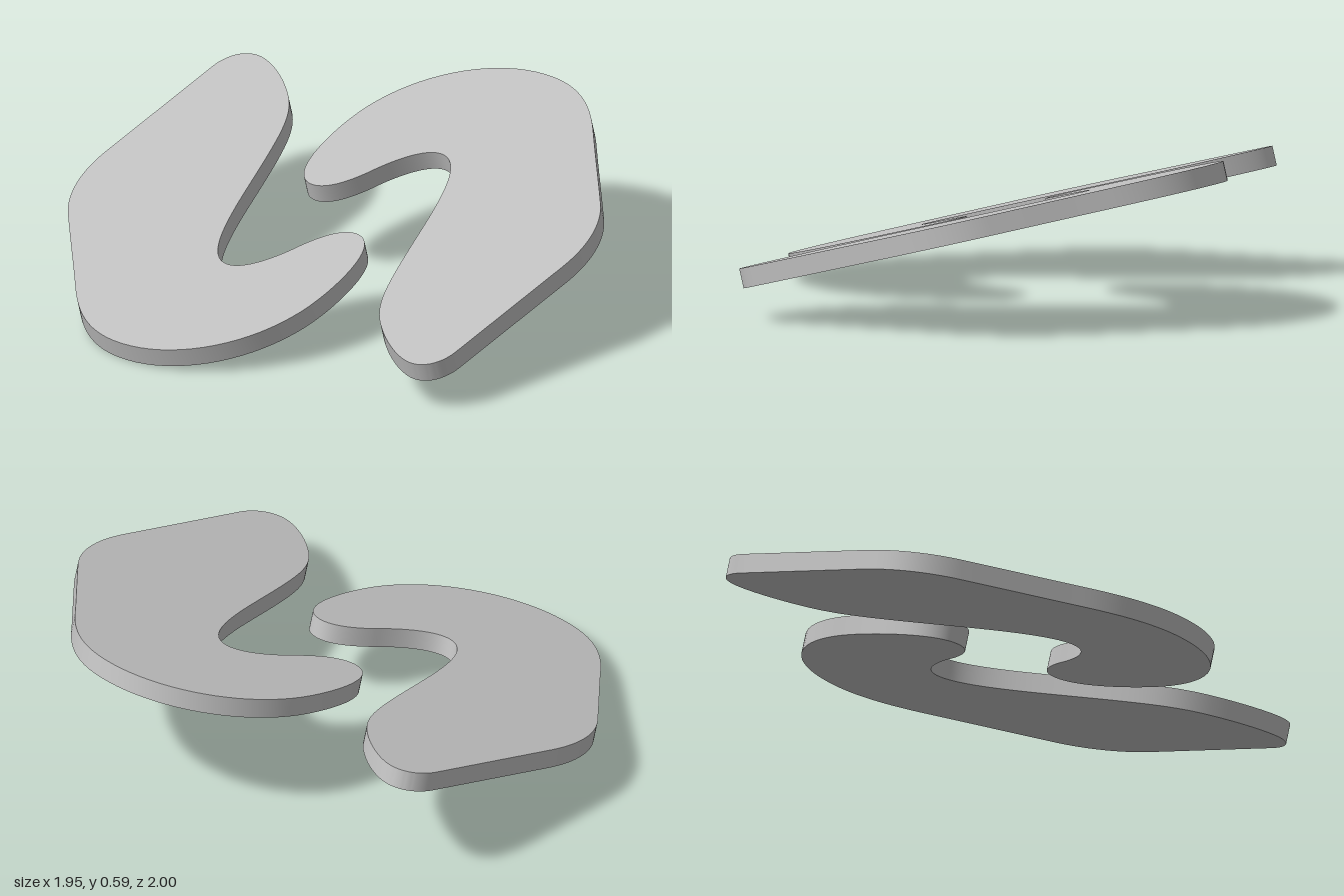
import * as THREE from 'three';
import { toCreasedNormals } from 'three/addons/utils/BufferGeometryUtils.js';

const TILT = THREE.MathUtils.degToRad(15);
const THICKNESS = 0.073;

// Outline of one hooked plate as [control, control, end] (x, z), seen from straight above
const START = [-0.42, 1];
const CURVES = [
  [-0.23, 1, -0.05, 1, 0.14, 1], // straight front edge
  [0.28, 1, 0.4, 0.95, 0.48, 0.87],
  [0.59, 0.755, 0.69, 0.645, 0.8, 0.53], // straight slanted edge
  [0.91, 0.415, 0.965, 0.31, 0.965, 0.18],
  [0.965, -0.09, 0.73, -0.325, 0.42, -0.325], // round shoulder
  [0.27, -0.325, 0.07, -0.29, 0.07, -0.18], // hook tip
  [0.07, -0.115, 0.14, -0.07, 0.22, -0.04],
  [0.34, 0, 0.43, 0.06, 0.43, 0.13], // inner notch
  [0.43, 0.24, 0.21, 0.32, 0.01, 0.395],
  [-0.27, 0.5, -0.36, 0.54, -0.44, 0.65],
  [-0.5, 0.73, -0.547, 0.83, -0.547, 0.89], // tail
  [-0.547, 0.96, -0.49, 1, -0.42, 1],
];

function plateGeometry() {
  // undo the foreshortening of the tilt along x
  const flat = (p) => p.map((v, i) => (i % 2 ? -v : v / Math.cos(TILT)));
  const shape = new THREE.Shape();
  shape.moveTo(...flat(START));
  for (const c of CURVES) shape.bezierCurveTo(...flat(c));
  const geo = new THREE.ExtrudeGeometry(shape, {
    depth: THICKNESS, bevelEnabled: false, curveSegments: 20,
  });
  geo.translate(0, 0, -THICKNESS / 2);
  geo.rotateX(-Math.PI / 2);
  return toCreasedNormals(geo, 0.7);
}

export function createModel() {
  const grey = new THREE.MeshStandardMaterial({ color: 0xc0c0c0 });
  grey.name = 'light grey';
  const geo = plateGeometry();

  // two identical plates interlocked by a half turn
  const plates = new THREE.Group();
  plates.name = 'tiltedPlates';
  ['frontPlate', 'backPlate'].forEach((name, i) => {
    const plate = new THREE.Mesh(geo, grey);
    plate.name = name;
    plate.rotation.y = i * Math.PI;
    plates.add(plate);
  });
  plates.rotation.z = TILT;
  plates.position.y = 0.295;

  const model = new THREE.Group();
  model.name = 'interlockedHooks';
  model.add(plates);
  return model;
}
